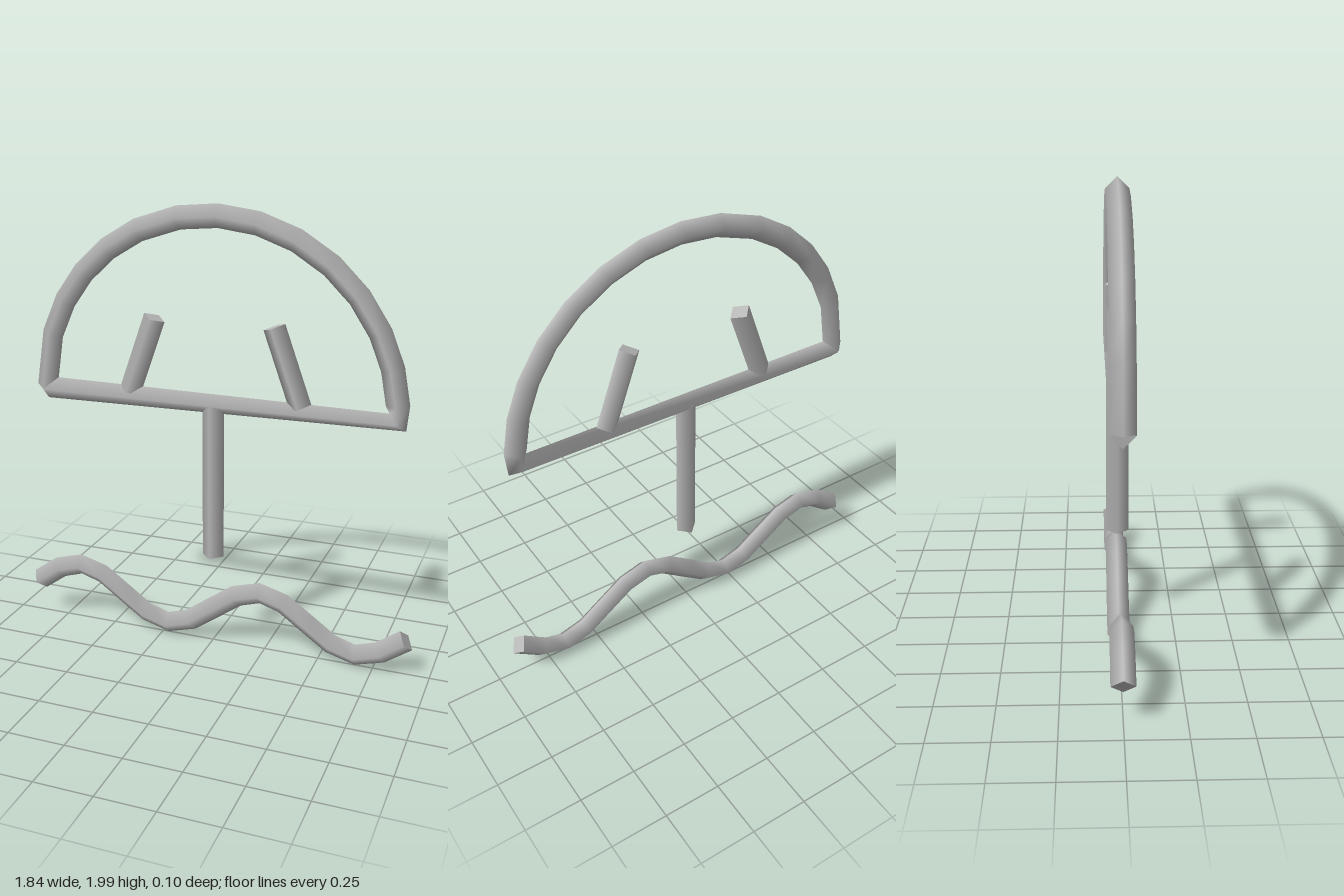
import * as THREE from 'three';
import { mergeGeometries } from 'three/addons/utils/BufferGeometryUtils.js';

const RADIUS = 0.05;
const SIDES = 4;

// A path that keeps its corner points, with averaged tangents at the corners
class PointPath extends THREE.Curve {
  constructor(points) {
    super();
    this.points = points;
  }
  index(u) {
    return Math.round(u * (this.points.length - 1));
  }
  getPointAt(u, target = new THREE.Vector3()) {
    return target.copy(this.points[this.index(u)]);
  }
  getTangentAt(u, target = new THREE.Vector3()) {
    const p = this.points, i = this.index(u);
    target.set(0, 0, 0);
    if (i > 0) target.add(p[i].clone().sub(p[i - 1]).normalize());
    if (i < p.length - 1) target.add(p[i + 1].clone().sub(p[i]).normalize());
    return target.normalize();
  }
}

// Flat end cap with its corners on the plane of the path
function cap(path, u) {
  const out = path.getTangentAt(u).multiplyScalar(u === 0 ? -1 : 1);
  const x = new THREE.Vector3(0, 0, 1);
  const y = out.clone().cross(x);
  const matrix = new THREE.Matrix4().makeBasis(x, y, out).setPosition(path.getPointAt(u));
  return new THREE.CircleGeometry(RADIUS, SIDES).applyMatrix4(matrix);
}

// Four-sided bar swept along a list of [x, y] points, closed at both ends
function bar(name, coords, material) {
  const path = new PointPath(coords.map(([x, y]) => new THREE.Vector3(x, y, 0)));
  const tube = new THREE.TubeGeometry(path, coords.length - 1, RADIUS, SIDES, false);
  const mesh = new THREE.Mesh(mergeGeometries([tube, cap(path, 0), cap(path, 1)]), material);
  mesh.name = name;
  return mesh;
}

export function createModel() {
  const group = new THREE.Group();
  group.name = 'wireSymbol';
  const grey = new THREE.MeshStandardMaterial({ color: 0xb8b8b8 });
  grey.name = 'grey';

  // Half-round arch that turns the right corner and runs back as the crossbar
  const angles = [180, 162, 150, 138.5, 127, 115, 101, 88.5, 76, 63.5, 51, 39, 27, 16, 5, 0];
  const arch = angles.map((deg) => {
    const a = THREE.MathUtils.degToRad(deg);
    return [0.803 * Math.cos(a), 1.15 + 0.8 * Math.sin(a)];
  });
  arch.push([-0.8, 1.145]);
  group.add(bar('archAndCrossbar', arch, grey));

  // Two short rods leaning inwards
  for (const [name, side] of [['leftRod', 1], ['rightRod', -1]]) {
    group.add(bar(name, [[side * 0.39, 1.17], [side * 0.27, 1.505]], grey));
  }

  // Central stem
  group.add(bar('stem', [[0, 1.15], [0, 0.435]], grey));

  // Wave underneath, two full periods
  const wave = [];
  for (let i = 0; i <= 16; i++) {
    wave.push([-0.89 + (1.78 * i) / 16, 0.17 + 0.112 * Math.sin((i / 16) * Math.PI * 4)]);
  }
  group.add(bar('wave', wave, grey));

  return group;
}
